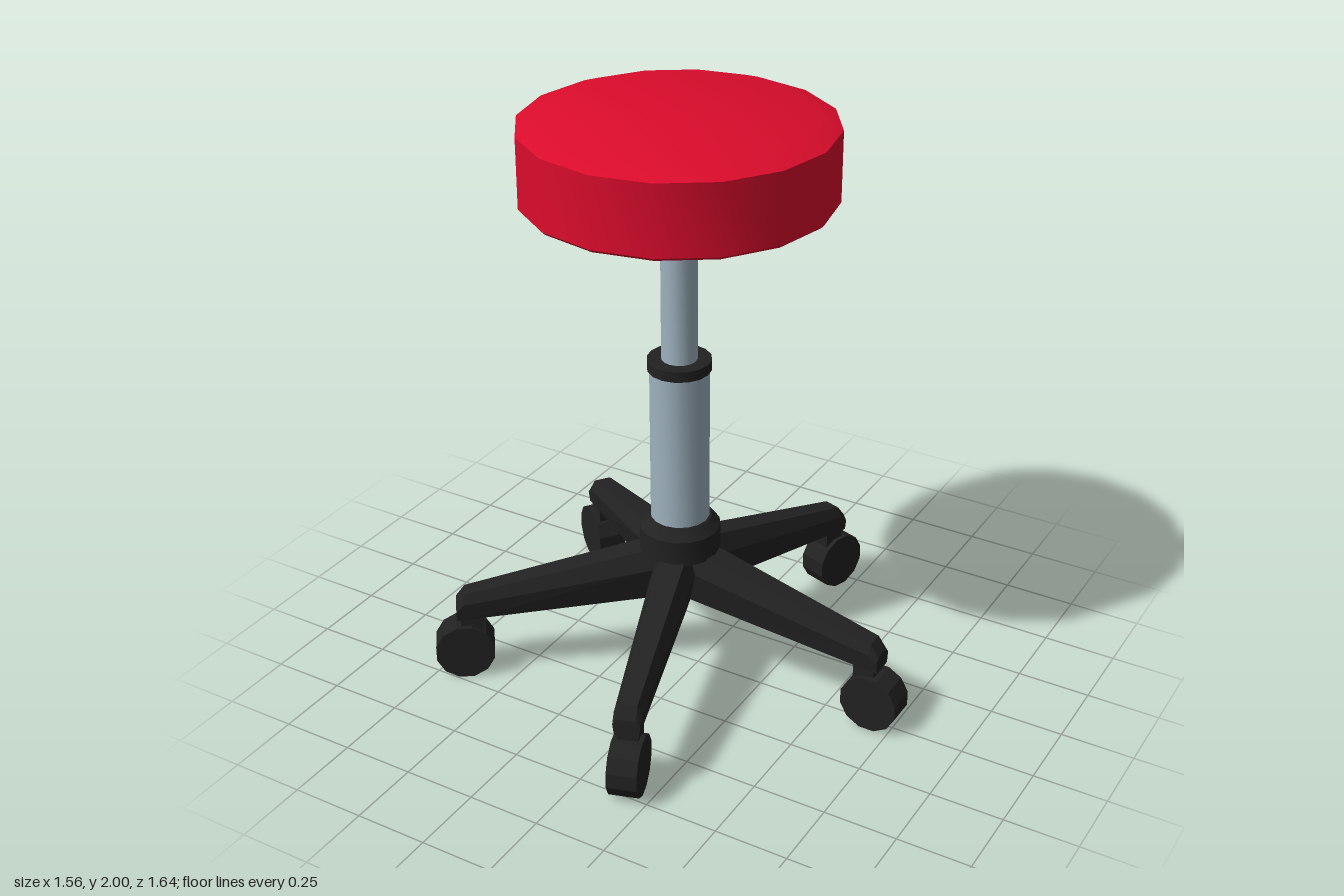
import * as THREE from 'three';
import { toCreasedNormals } from 'three/addons/utils/BufferGeometryUtils.js';

const mat = (color, flatShading = false) => new THREE.MeshStandardMaterial({ color, flatShading });

// Round part turned from a [radius, height] profile, listed bottom to top
function turned(name, profile, sides, material) {
  const points = profile.map(([r, y]) => new THREE.Vector2(r, y));
  const mesh = new THREE.Mesh(toCreasedNormals(new THREE.LatheGeometry(points, sides), 0.6), material);
  mesh.name = name;
  return mesh;
}

// Tapered leg along +x, lofted through hexagonal sections
function legGeometry() {
  // distance, bottom, top, half widths at bottom, shoulder and top
  const sections = [
    [0, 0.295, 0.495, 0.05, 0.075, 0.045],
    [0.14, 0.283, 0.465, 0.05, 0.072, 0.042],
    [0.74, 0.228, 0.325, 0.04, 0.047, 0.03],
    [0.77, 0.225, 0.285, 0.04, 0.045, 0.03],
  ];
  const pos = [], index = [];
  for (const [x, y0, y1, b, w, t] of sections) {
    const ym = y0 + (y1 - y0) * 0.65;
    pos.push(x, y0, -b, x, y0, b, x, ym, w, x, y1, t, x, y1, -t, x, ym, -w);
  }
  const last = (sections.length - 1) * 6;
  for (let s = 0; s < last; s += 6) {
    for (let i = 0; i < 6; i++) {
      const j = (i + 1) % 6;
      index.push(s + i, s + 6 + i, s + 6 + j, s + i, s + 6 + j, s + j);
    }
  }
  for (let i = 1; i < 5; i++) {
    index.push(0, i, i + 1, last, last + i + 1, last + i);
  }
  const geo = new THREE.BufferGeometry();
  geo.setAttribute('position', new THREE.Float32BufferAttribute(pos, 3));
  geo.setIndex(index);
  geo.computeVertexNormals();
  return geo;
}

export function createModel() {
  const model = new THREE.Group();
  model.name = 'swivelStool';
  const red = mat(0xdc0c2c), steel = mat(0x9fb2bf);
  const black = mat(0x222222), blackFlat = mat(0x222222, true);

  // Seat and its mounting plate
  model.add(turned('seat', [[0, 1.73], [0.495, 1.73], [0.505, 1.74], [0.505, 1.972], [0.43, 2], [0, 2]], 16, red));
  model.add(turned('seatMount', [[0, 1.68], [0.1, 1.68], [0.14, 1.705], [0.15, 1.735], [0, 1.735]], 16, black));

  // Telescopic column
  model.add(turned('piston', [[0, 1.13], [0.06, 1.13], [0.06, 1.7], [0, 1.7]], 16, steel));
  model.add(turned('collar', [[0, 1.135], [0.107, 1.135], [0.107, 1.172], [0, 1.172]], 16, black));
  model.add(turned('column', [[0, 0.5], [0.1, 0.5], [0.1, 1.14], [0, 1.14]], 16, steel));
  model.add(turned('hub', [[0, 0.3], [0.07, 0.3], [0.09, 0.43], [0.138, 0.46], [0.138, 0.55], [0.108, 0.587], [0, 0.587]], 16, black));

  // Five legs with casters
  const leg = legGeometry();
  const stem = new THREE.BoxGeometry(0.075, 0.12, 0.07);
  const wheel = new THREE.CylinderGeometry(0.103, 0.103, 0.1, 12);
  wheel.rotateY(Math.PI / 12).rotateX(Math.PI / 2);
  const add = (group, name, geo, x, y) => {
    const mesh = new THREE.Mesh(geo, blackFlat);
    mesh.name = name;
    mesh.position.set(x, y, 0);
    group.add(mesh);
  };
  for (let i = 0; i < 5; i++) {
    const arm = new THREE.Group();
    arm.name = 'leg' + (i + 1);
    add(arm, 'legBeam', leg, 0, 0);
    add(arm, 'casterStem', stem, 0.72, 0.19);
    add(arm, 'casterWheel', wheel, 0.747, 0.1);
    arm.rotation.y = (i * Math.PI * 2) / 5;
    model.add(arm);
  }

  // The odd leg reaches further to +x, so the column sits off centre
  for (const part of model.children) part.position.x = -0.07;
  return model;
}
